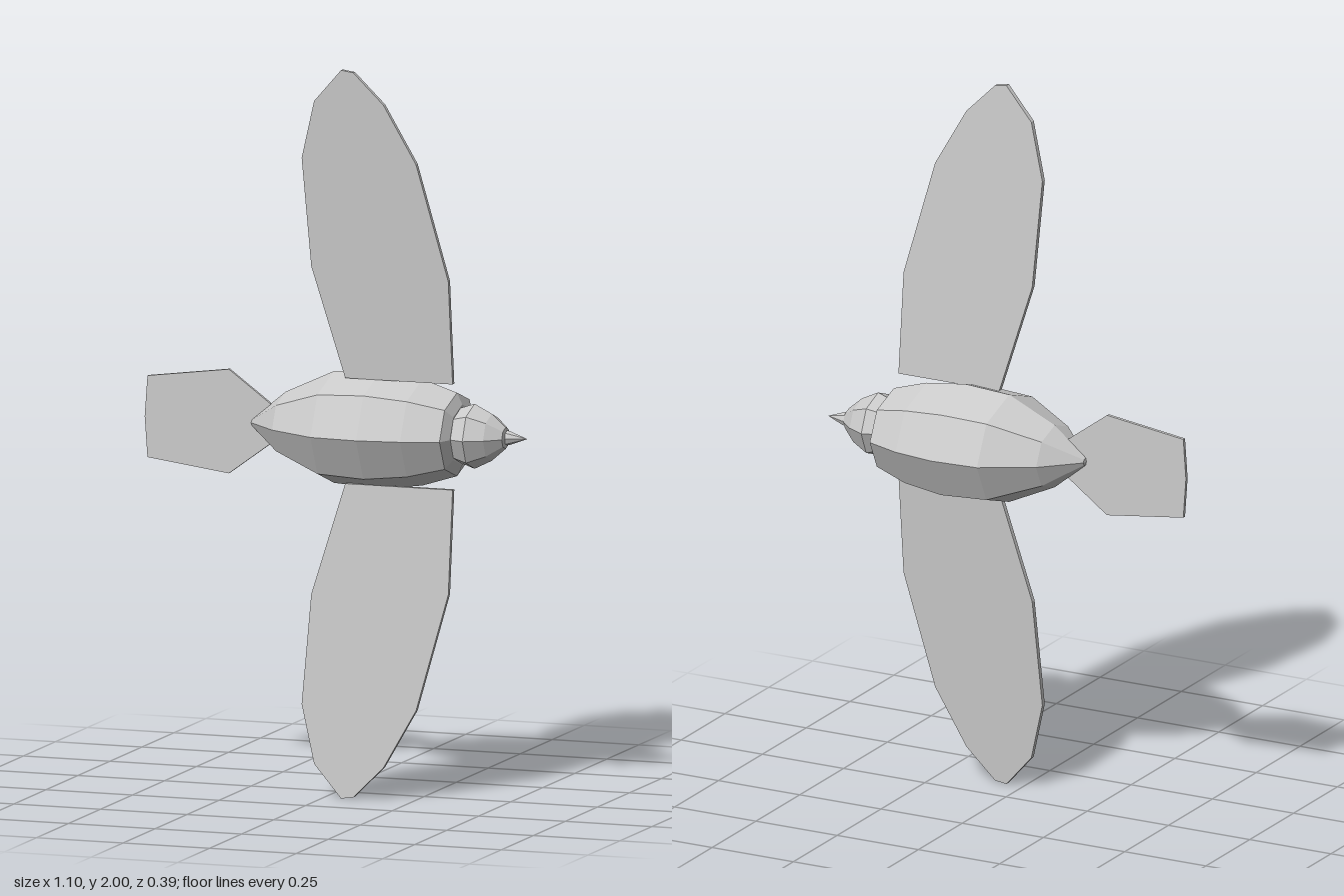
import * as THREE from 'three';

const material = new THREE.MeshStandardMaterial({ color: 0xcccccc, flatShading: true });

function addPart(group, name, geometry) {
  const mesh = new THREE.Mesh(geometry, material);
  mesh.name = name;
  group.add(mesh);
  return mesh;
}

// Faceted solid around the x axis; stations are [x, radius]
function turned(stations, heightScale) {
  const points = stations.map(([x, r]) => new THREE.Vector2(r, x));
  return new THREE.LatheGeometry(points, 8).rotateZ(-Math.PI / 2).scale(1, heightScale, 1);
}

// Thin plate centred on z = 0 from an outline in x and y
function plate(outline, depth) {
  const shape = new THREE.Shape(outline.map(([x, y]) => new THREE.Vector2(x, y)));
  return new THREE.ExtrudeGeometry(shape, { depth, bevelEnabled: false }).translate(0, 0, -depth / 2);
}

// Wing blade, leaning forward towards its tip; side is 1 (up) or -1 (down)
function wing(side) {
  const outline = [
    [0.04, 0.145], [0.35, 0.145], [0.345, 0.43], [0.26, 0.75], [0.17, 0.91],
    [0.085, 0.995], [0.05, 1], [-0.03, 0.91], [-0.07, 0.75], [-0.05, 0.45],
  ].map(([x, y]) => [x, y * side]);
  const geometry = plate(outline, 0.014);
  const p = geometry.attributes.position;
  for (let i = 0; i < p.count; i++) {
    p.setZ(i, p.getZ(i) + 0.042 + (Math.abs(p.getY(i)) - 0.145) * 0.07);
  }
  geometry.computeVertexNormals();
  return geometry;
}

export function createModel() {
  const bird = new THREE.Group();
  bird.name = 'bird';
  bird.position.y = 1;

  addPart(bird, 'body', turned([
    [-0.247, 0], [-0.245, 0.013], [-0.15, 0.107], [-0.01, 0.185], [0.125, 0.195],
    [0.245, 0.176], [0.345, 0.138], [0.36, 0.1], [0.36, 0],
  ], 0.83));

  addPart(bird, 'head', turned([
    [0.35, 0], [0.355, 0.08], [0.4, 0.097], [0.45, 0.07], [0.49, 0.032], [0.495, 0],
  ], 0.92)).position.z = 0.012;

  addPart(bird, 'beak', turned([
    [0.47, 0], [0.48, 0.024], [0.5, 0.02], [0.55, 0],
  ], 0.95)).position.z = 0.006;

  // Wings
  addPart(bird, 'upperWing', wing(1));
  addPart(bird, 'lowerWing', wing(-1));

  // Tail fan
  addPart(bird, 'tail', plate([
    [-0.19, -0.055], [-0.19, 0.055], [-0.31, 0.143], [-0.545, 0.112],
    [-0.553, 0], [-0.545, -0.112], [-0.31, -0.143],
  ], 0.01)).position.z = 0.006;

  const model = new THREE.Group();
  model.add(bird);
  return model;
}
